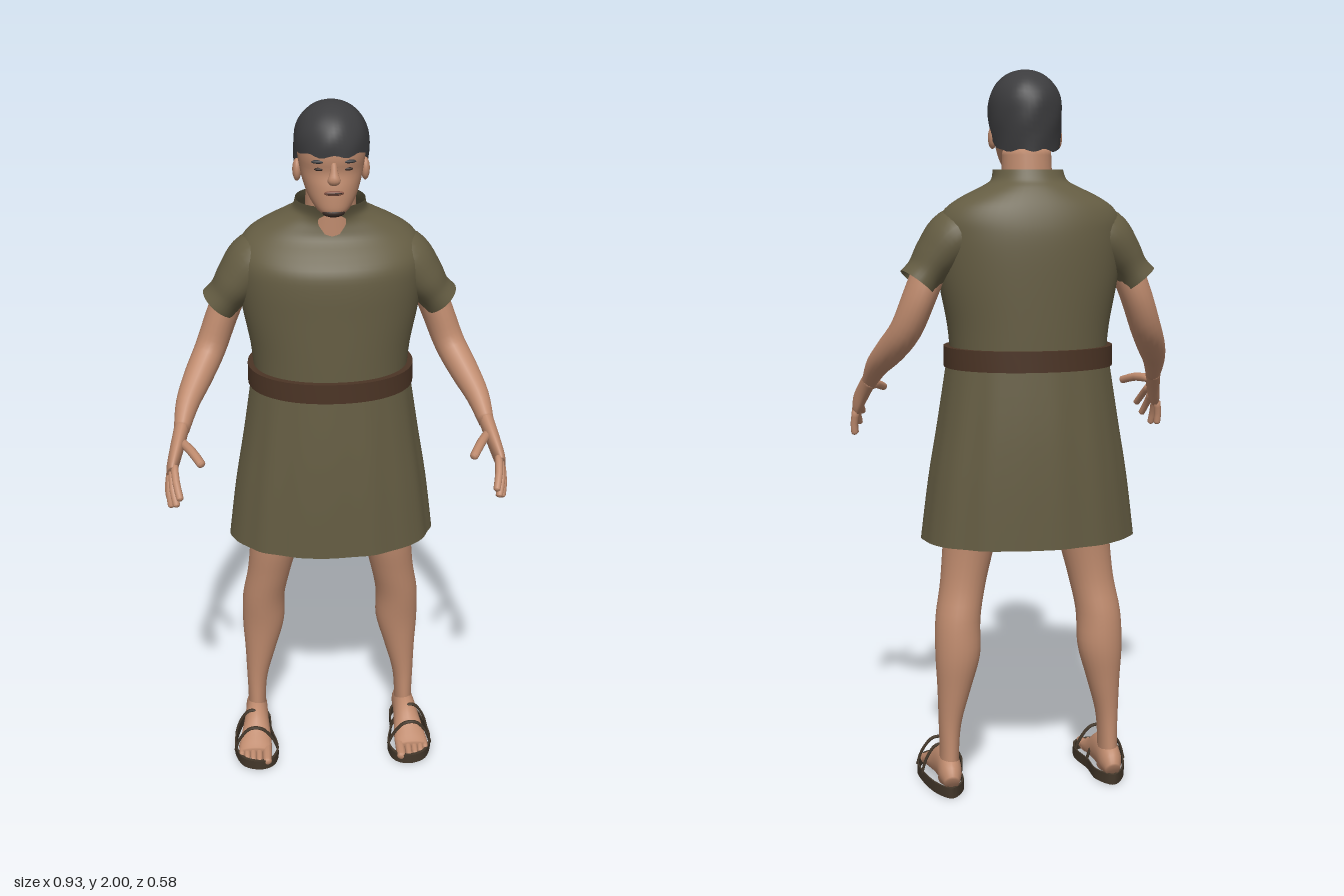
import * as THREE from 'three';
import { toCreasedNormals } from 'three/addons/utils/BufferGeometryUtils.js';

const V = (x, y, z) => new THREE.Vector3(x, y, z);
const TAU = Math.PI * 2;

// Smoothly interpolate a table of rows (Catmull-Rom), k steps per row
function smooth(rows, k = 4) {
  const out = [], n = rows.length - 1;
  const at = i => rows[Math.max(0, Math.min(n, i))];
  for (let i = 0; i < n; i++) for (let s = 0; s < k; s++) {
    const t = s / k, [p, q, r, u] = [at(i - 1), at(i), at(i + 1), at(i + 2)];
    out.push(q.map((b, c) => {
      const c1 = r[c] - p[c];
      const c2 = 2 * p[c] - 5 * b + 4 * r[c] - u[c];
      const c3 = 3 * (b - r[c]) + u[c] - p[c];
      return b + 0.5 * t * (c1 + t * (c2 + t * c3));
    }));
  }
  out.push(rows[n]);
  return out;
}

// Skin a list of rings (arrays of Vector3), optionally closing the ends
function loft(rings, caps = true) {
  const n = rings[0].length, m = rings.length, pts = rings.flat(), idx = [];
  for (let i = 0; i < m - 1; i++) for (let j = 0; j < n; j++) {
    const a = i * n + j, b = i * n + (j + 1) % n;
    idx.push(a, a + n, b + n, a, b + n, b);
  }
  if (caps) for (const i of [0, m - 1]) {
    const c = V(0, 0, 0);
    rings[i].forEach(p => c.addScaledVector(p, 1 / n));
    const ci = pts.push(c) - 1;
    for (let j = 0; j < n; j++) {
      const a = i * n + j, b = i * n + (j + 1) % n;
      if (i) idx.push(ci, b, a); else idx.push(ci, a, b);
    }
  }
  const g = new THREE.BufferGeometry().setFromPoints(pts);
  g.setIndex(idx);
  g.computeVertexNormals();
  return g;
}

// Horizontal oval ring: row = [y, front z, back z, half width, centre x, fold depth]
function oval([y, f, b, rx, cx = 0, fold = 0], n = 40, pow = 2) {
  return Array.from({ length: n }, (_, j) => {
    const a = j / n * TAU, c = Math.cos(a), s = Math.sin(a), e = 2 / pow;
    const k = 1 + fold * (Math.sin(a * 11 + 1) + 0.6 * Math.sin(a * 17));
    return V(cx + rx * k * Math.sign(c) * Math.abs(c) ** e, y,
      (f + b) / 2 + (f - b) / 2 * k * Math.sign(s) * Math.abs(s) ** e);
  });
}

// Limb along a path: rows = [x, y, z, radius along ref, radius across]
function limb(rows, ref, n = 16, k = 4, caps = true) {
  const r = smooth(rows, k), p = r.map(q => V(q[0], q[1], q[2]));
  return loft(r.map((q, i) => {
    const t = p[Math.min(i + 1, p.length - 1)].clone().sub(p[Math.max(i - 1, 0)]).normalize();
    const u = ref.clone().addScaledVector(t, -ref.dot(t)).normalize();
    const v = u.clone().cross(t);
    return Array.from({ length: n }, (_, j) => p[i].clone()
      .addScaledVector(u, q[3] * Math.cos(j / n * TAU))
      .addScaledVector(v, q[4] * Math.sin(j / n * TAU)));
  }), caps);
}

// Finger or toe with a rounded tip
function digit(points, r, ref) {
  const rows = points.map(p => [...p, r, r]), a = points.at(-2), b = points.at(-1);
  const d = V(...b).sub(V(...a)).normalize(), tip = V(...b).addScaledVector(d, -r);
  rows[rows.length - 1] = [tip.x, tip.y, tip.z, r * 0.95, r * 0.95];
  for (const [o, w] of [[-0.45, 0.83], [-0.1, 0.4]]) {
    const q = V(...b).addScaledVector(d, o * r);
    rows.push([q.x, q.y, q.z, r * w, r * w]);
  }
  return limb(rows, ref, 10, 2);
}

function mirror(geo) {
  const g = geo.clone().scale(-1, 1, 1);
  const idx = g.index ? [...g.index.array] : Array.from({ length: g.attributes.position.count }, (_, i) => i);
  for (let i = 0; i < idx.length; i += 3) [idx[i], idx[i + 1]] = [idx[i + 1], idx[i]];
  g.setIndex(idx);
  if (geo.index) g.computeVertexNormals();
  return g;
}

export function createModel() {
  const model = new THREE.Group();
  model.name = 'manInTunic';
  const mat = (name, color, side = THREE.FrontSide) => {
    const m = new THREE.MeshStandardMaterial({ color, side });
    m.name = name;
    return m;
  };
  const skin = mat('skin', 0xbf8b6e), cloth = mat('oliveCloth', 0x655d43, THREE.DoubleSide);
  const leather = mat('beltLeather', 0x4b3425), strapMat = mat('sandalLeather', 0x43372a);
  const hairMat = mat('hair', 0x3c3c3e, THREE.DoubleSide), lip = mat('lips', 0x8a5848);
  const dark = mat('darkFeatures', 0x3a2c26);
  const add = (name, geo, m) => {
    const mesh = new THREE.Mesh(geo, m);
    mesh.name = name;
    model.add(mesh);
  };
  const pair = (name, geo, m) => {
    add(name + 'Left', geo, m);
    add(name + 'Right', mirror(geo), m);
  };
  const ball = (x, y, z, a, b, c) => new THREE.SphereGeometry(1, 16, 12).scale(a, b, c).translate(x, y, z);

  // Tunic: bodice with standing collar, skirt with soft folds
  const bodice = [[1.22, 0.075, -0.262, 0.213], [1.32, 0.076, -0.264, 0.222], [1.43, 0.076, -0.265, 0.243],
    [1.51, 0.076, -0.264, 0.253], [1.565, 0.068, -0.26, 0.255], [1.605, 0.038, -0.252, 0.248],
    [1.64, 0.006, -0.24, 0.222], [1.668, -0.005, -0.226, 0.178], [1.69, -0.008, -0.212, 0.132],
    [1.708, -0.002, -0.198, 0.102], [1.735, 0.012, -0.186, 0.094]];
  add('tunicBodice', loft(smooth(bodice).map(r => oval(r, 56, 2.15)), false), cloth);
  const skirt = [[0.73, 0.104, -0.288, 0.297, 0, 0.008], [0.9, 0.102, -0.286, 0.275, 0, 0.008],
    [1.05, 0.097, -0.28, 0.25, 0, 0.007], [1.22, 0.086, -0.266, 0.224, 0, 0.003]];
  add('tunicSkirt', loft(smooth(skirt).map(r => oval(r, 96, 2.1)), false), cloth);
  pair('sleeve', limb([[0.14, 1.575, -0.105, 0.09, 0.07], [0.2, 1.555, -0.105, 0.1, 0.08],
    [0.25, 1.505, -0.102, 0.088, 0.066], [0.282, 1.465, -0.104, 0.074, 0.053],
    [0.305, 1.436, -0.107, 0.07, 0.056]], V(0, 0, 1), 28, 5, false), cloth);

  // Belt
  const belt = [[1.208, 0.092, -0.274, 0.232], [1.264, 0.092, -0.274, 0.232],
    [1.264, 0.07, -0.255, 0.21], [1.208, 0.07, -0.255, 0.21]];
  add('belt', toCreasedNormals(loft(belt.map(r => oval(r, 56, 2.15)), false), 0.7), leather);

  // Arms
  pair('arm', limb([[0.26, 1.5, -0.105, 0.05, 0.045], [0.3, 1.4, -0.105, 0.056, 0.044],
    [0.335, 1.31, -0.083, 0.047, 0.043], [0.37, 1.25, -0.025, 0.043, 0.04],
    [0.4, 1.2, 0.042, 0.034, 0.032], [0.417, 1.148, 0.105, 0.027, 0.021]], V(0, 0.5, 1), 20), skin);
  // Hands
  const across = V(-0.1, 0.7, 0.7);
  pair('palm', limb([[0.414, 1.16, 0.09, 0.027, 0.021], [0.429, 1.118, 0.143, 0.036, 0.019],
    [0.442, 1.08, 0.183, 0.042, 0.016], [0.446, 1.065, 0.202, 0.038, 0.012]], across, 16), skin);
  const fingers = {
    indexFinger: [[0.436, 1.093, 0.212], [0.431, 1.065, 0.253], [0.42, 1.03, 0.291]],
    middleFinger: [[0.443, 1.077, 0.203], [0.441, 1.04, 0.24], [0.431, 1, 0.27]],
    ringFinger: [[0.449, 1.062, 0.187], [0.452, 1.02, 0.211], [0.448, 0.976, 0.226]],
    littleFinger: [[0.451, 1.052, 0.169], [0.456, 1.017, 0.177], [0.455, 0.981, 0.181]],
    thumb: [[0.418, 1.128, 0.133], [0.39, 1.127, 0.19], [0.36, 1.11, 0.247]],
  };
  for (const [name, pts] of Object.entries(fingers))
    pair(name, digit(pts, name === 'thumb' ? 0.0125 : 0.0105, V(1, 0.2, 0.3)), skin);

  // Legs
  const leg = [[0.03, -0.06, -0.165, 0.03, 0.233], [0.11, -0.063, -0.157, 0.027, 0.231],
    [0.2, -0.066, -0.155, 0.032, 0.228], [0.3, -0.06, -0.165, 0.047, 0.216],
    [0.4, -0.05, -0.176, 0.063, 0.205], [0.5, -0.033, -0.17, 0.063, 0.202],
    [0.6, -0.013, -0.154, 0.064, 0.184], [0.73, 0.01, -0.157, 0.074, 0.162], [0.95, 0.02, -0.18, 0.085, 0.13]];
  pair('leg', loft(smooth(leg).map(r => oval(r, 24))), skin);

  // Feet and toes
  pair('foot', limb([[0.233, 0.04, -0.172, 0.02, 0.024], [0.233, 0.056, -0.145, 0.032, 0.044],
    [0.233, 0.066, -0.1, 0.034, 0.054], [0.235, 0.062, -0.05, 0.038, 0.05],
    [0.238, 0.046, 0, 0.045, 0.034], [0.241, 0.034, 0.045, 0.05, 0.022],
    [0.242, 0.03, 0.07, 0.046, 0.014]], V(1, 0, 0), 20), skin);
  [[0.206, 0.118, 0.0145], [0.23, 0.112, 0.0105], [0.249, 0.104, 0.01], [0.267, 0.093, 0.0095],
    [0.283, 0.08, 0.009]].forEach(([x, z, r], i) =>
    pair('toe' + (i + 1), digit([[x, 0.032, 0.035], [x, 0.029, 0.07], [x, 0.022, z]], r, V(1, 0, 0)), skin));

  // Sandals: sole rim and two hoops over the foot
  const outline = new THREE.CatmullRomCurve3([[0.303, -0.02], [0.303, 0.04], [0.276, 0.1], [0.225, 0.118],
    [0.187, 0.1], [0.17, 0.045], [0.188, -0.05], [0.194, -0.13], [0.233, -0.18], [0.27, -0.14]]
    .map(([x, z]) => V(x, 0, z)), true).getPoints(48).slice(0, -1);
  const rim = (y, k) => outline.map(p => V(0.237 + (p.x - 0.237) * k, y, -0.03 + (p.z + 0.03) * k));
  pair('sandalRim', toCreasedNormals(loft([rim(0, 1), rim(0.03, 1), rim(0.03, 0.93),
    rim(0, 0.93), rim(0, 1)], false), 0.7), strapMat);
  for (const [name, z, x0, x1, lift] of [['frontStrap', 0.04, 0.172, 0.303, 1], ['rearStrap', -0.04, 0.188, 0.3, 1.08]]) {
    const path = [[0, 0.02], [0.1, 0.052], [0.3, 0.088], [0.5, 0.099], [0.7, 0.092], [0.9, 0.058], [1, 0.02]];
    pair(name, limb(path.map(([t, y]) => [x0 + (x1 - x0) * t, y * lift, z, 0.007, 0.004]), V(0, 0, 1), 8, 3), strapMat);
  }

  // Neck and head
  add('neck', loft(smooth([[1.62, 0, -0.16, 0.085], [1.7, 0, -0.15, 0.07], [1.79, 0, -0.14, 0.066]])
    .map(r => oval(r, 24))), skin);
  const head = [[1.722, 0.048, -0.005, 0.024], [1.735, 0.062, -0.04, 0.043], [1.765, 0.064, -0.1, 0.064],
    [1.8, 0.062, -0.14, 0.077], [1.835, 0.056, -0.155, 0.085], [1.875, 0.062, -0.16, 0.089],
    [1.93, 0.052, -0.155, 0.084], [1.97, 0.01, -0.11, 0.055]];
  add('head', loft(smooth(head).map(r => oval(r, 36, 2.2))), skin);
  pair('ear', ball(0.09, 1.82, -0.052, 0.012, 0.03, 0.019), skin);
  add('nose', limb([[0, 1.863, 0.054, 0.008, 0.008], [0, 1.838, 0.062, 0.011, 0.01],
    [0, 1.82, 0.066, 0.017, 0.012], [0, 1.81, 0.06, 0.012, 0.006]], V(1, 0, 0), 12), skin);
  add('lips', ball(0, 1.786, 0.061, 0.026, 0.007, 0.008), lip);
  add('mouthLine', ball(0, 1.787, 0.066, 0.022, 0.0018, 0.0045), dark);
  add('chinBeard', ball(0, 1.732, 0.046, 0.03, 0.013, 0.018), dark);
  pair('eye', ball(0.036, 1.846, 0.048, 0.014, 0.0045, 0.006), dark);
  pair('eyebrow', ball(0.037, 1.866, 0.05, 0.021, 0.005, 0.008), hairMat);

  // Hair: domed cap, short over the brow and long at the nape
  const hair = [];
  for (let i = 0; i <= 18; i++) hair.push(Array.from({ length: 48 }, (_, j) => {
    const a = j / 48 * TAU, f = Math.sin(a), s = Math.sin(i / 18 * Math.PI / 2);
    const bottom = 1.785 + 0.098 * THREE.MathUtils.smoothstep(f, -0.5, 0.35) + 0.004 * Math.sin(a * 9);
    const y = bottom + (2 - bottom) * s, h = Math.max(0, (y - 1.89) / 0.11);
    const low = Math.max(0, 1.86 - y);
    const k = Math.sqrt(Math.max(0, 1 - h ** 2.3)) * (1 - low * 0.9) * (1 + 0.01 * Math.sin(a * 7 + y * 60));
    return V(0.099 * k * Math.cos(a), y, -0.047 + 0.124 * k * f);
  }));
  add('hair', loft(hair, false), hairMat);

  return model;
}
